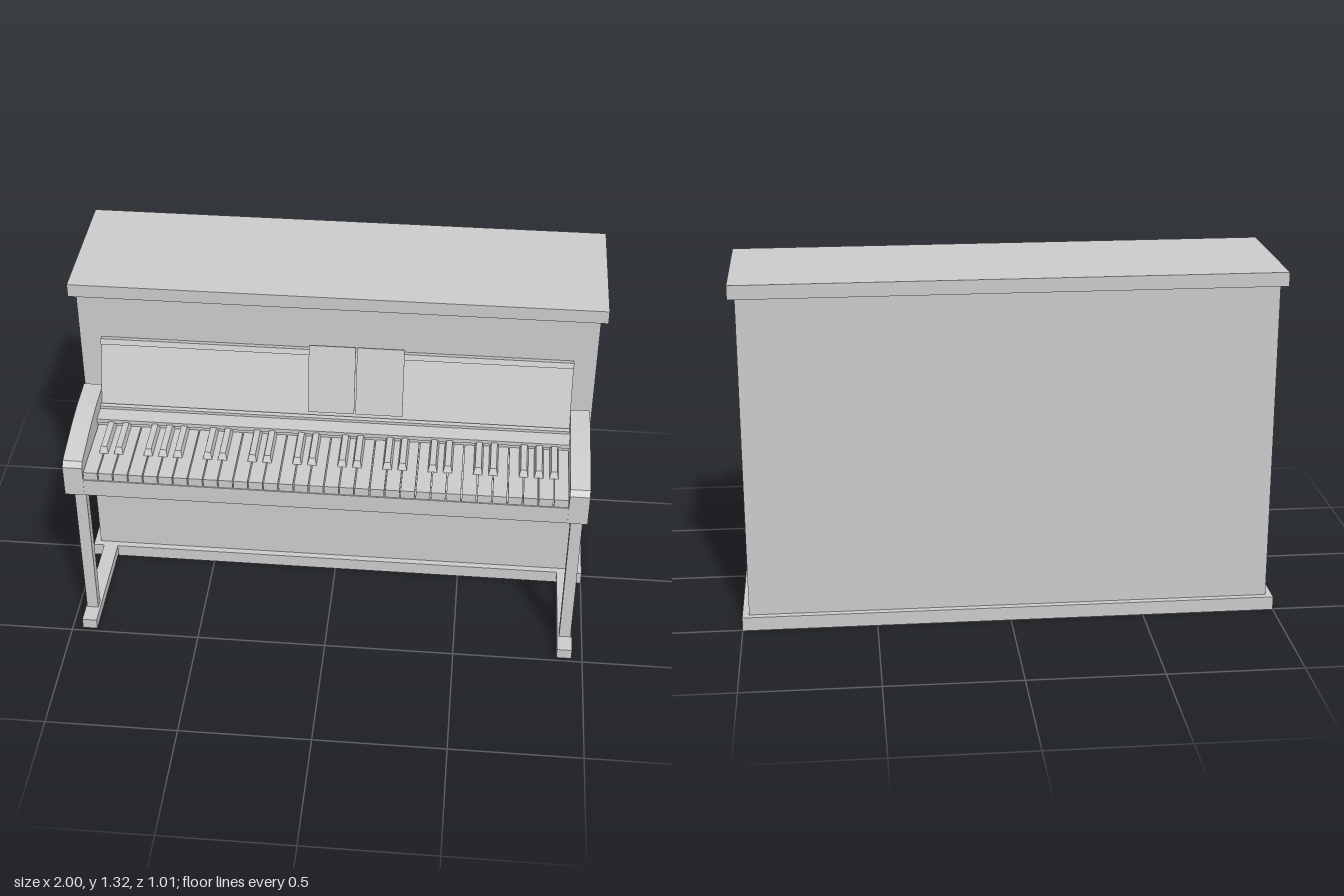
import * as THREE from 'three';

const material = new THREE.MeshStandardMaterial({ color: 0xcccccc, flatShading: true });

function add(parent, name, geometry) {
  const mesh = new THREE.Mesh(geometry, material);
  mesh.name = name;
  parent.add(mesh);
  return mesh;
}

// Box given by its limits on each axis
function box(parent, name, [x0, x1], [y0, y1], [z0, z1]) {
  const mesh = add(parent, name, new THREE.BoxGeometry(x1 - x0, y1 - y0, z1 - z0));
  mesh.position.set((x0 + x1) / 2, (y0 + y1) / 2, (z0 + z1) / 2);
  return mesh;
}

// Side profile of [z, y] points, extruded from x0 to x1
function profile(parent, name, points, x0, x1) {
  const shape = new THREE.Shape(points.map(([z, y]) => new THREE.Vector2(-z, y)));
  const geometry = new THREE.ExtrudeGeometry(shape, { depth: x1 - x0, bevelEnabled: false });
  geometry.rotateY(Math.PI / 2).translate(x0, 0, 0);
  return add(parent, name, geometry);
}

// Leaning board from its foot to its head, both [z, y]
function leaningBoard(parent, name, x0, x1, [z0, y0], [z1, y1], thickness) {
  const mesh = add(parent, name, new THREE.BoxGeometry(x1 - x0, Math.hypot(z1 - z0, y1 - y0), thickness));
  mesh.position.set((x0 + x1) / 2, (y0 + y1) / 2, (z0 + z1) / 2);
  mesh.rotation.x = Math.atan2(z1 - z0, y1 - y0);
  return mesh;
}

// Black key: a box narrowed at the top, with a sloping front
function blackKeyGeometry(width, height, length) {
  const geometry = new THREE.BoxGeometry(width, height, length);
  const p = geometry.attributes.position;
  for (let i = 0; i < p.count; i++) {
    if (p.getY(i) < 0) continue;
    p.setX(i, p.getX(i) * 0.66);
    if (p.getZ(i) > 0) p.setZ(i, p.getZ(i) - 0.012);
  }
  geometry.computeVertexNormals();
  return geometry;
}

export function createModel() {
  const model = new THREE.Group();
  model.name = 'uprightPiano';

  // Cabinet
  box(model, 'base', [-1, 1], [0, 0.052], [-0.505, 0.045]);
  box(model, 'cabinet', [-0.975, 0.975], [0.052, 1.268], [-0.48, 0.02]);
  box(model, 'lid', [-1, 1], [1.268, 1.32], [-0.505, 0.045]);

  // Key bed and the arms, legs and feet on either side
  box(model, 'keyBed', [-0.89, 0.89], [0.7, 0.77], [0.08, 0.509]);
  const arm = [[0.08, 0.7], [0.51, 0.7], [0.51, 0.825], [0.493, 0.845], [0.42, 0.86],
    [0.32, 0.88], [0.21, 0.893], [0.08, 0.897]];
  for (const side of [-1, 1]) {
    const label = side > 0 ? 'left' : 'right';
    const span = (a, b) => (side > 0 ? [a, b] : [-b, -a]);
    profile(model, label + 'Arm', arm, ...span(0.89, 0.963));
    box(model, label + 'Leg', span(0.908, 0.952), [0.05, 0.7], [0.38, 0.42]);
    box(model, label + 'Foot', span(0.9, 0.957), [0.01, 0.053], [0.04, 0.495]);
  }

  // White keys
  const keys = new THREE.Group();
  keys.name = 'keyboard';
  model.add(keys);
  const count = 32, pitch = 1.78 / count;
  for (let i = 0; i < count; i++) {
    const x = -0.89 + i * pitch;
    box(keys, 'whiteKey', [x + 0.002, x + pitch - 0.002], [0.77, 0.803], [0.2, 0.505]);
  }

  // Black keys, each over the joint after the given white key
  const blackKey = blackKeyGeometry(0.034, 0.024, 0.185);
  const joints = [1, 2, 4, 5, 6];
  for (let k = 8; k < 30; k += 3) joints.push(k, k + 1);
  joints.push(31);
  for (const k of joints) {
    add(keys, 'blackKey', blackKey).position.set(-0.89 + k * pitch, 0.815, 0.2925);
  }

  // Shelf behind the keys, with the ledge and the leaning music desk
  box(model, 'keyBack', [-0.89, 0.89], [0.77, 0.82], [0.18, 0.21]);
  box(model, 'shelf', [-0.89, 0.89], [0.82, 0.836], [0.07, 0.22]);
  box(model, 'deskLedge', [-0.89, 0.89], [0.836, 0.847], [0.132, 0.152]);
  leaningBoard(model, 'musicDesk', -0.89, 0.89, [0.117, 0.836], [0.034, 1.074], 0.012);
  leaningBoard(model, 'deskLip', -0.89, 0.89, [0.044, 1.064], [0.037, 1.085], 0.032);

  // Open sheet music
  leaningBoard(model, 'leftPage', 0.085, 0.262, [0.139, 0.866], [0.078, 1.128], 0.006);
  leaningBoard(model, 'rightPage', -0.095, 0.08, [0.139, 0.866], [0.078, 1.128], 0.006);

  return model;
}
